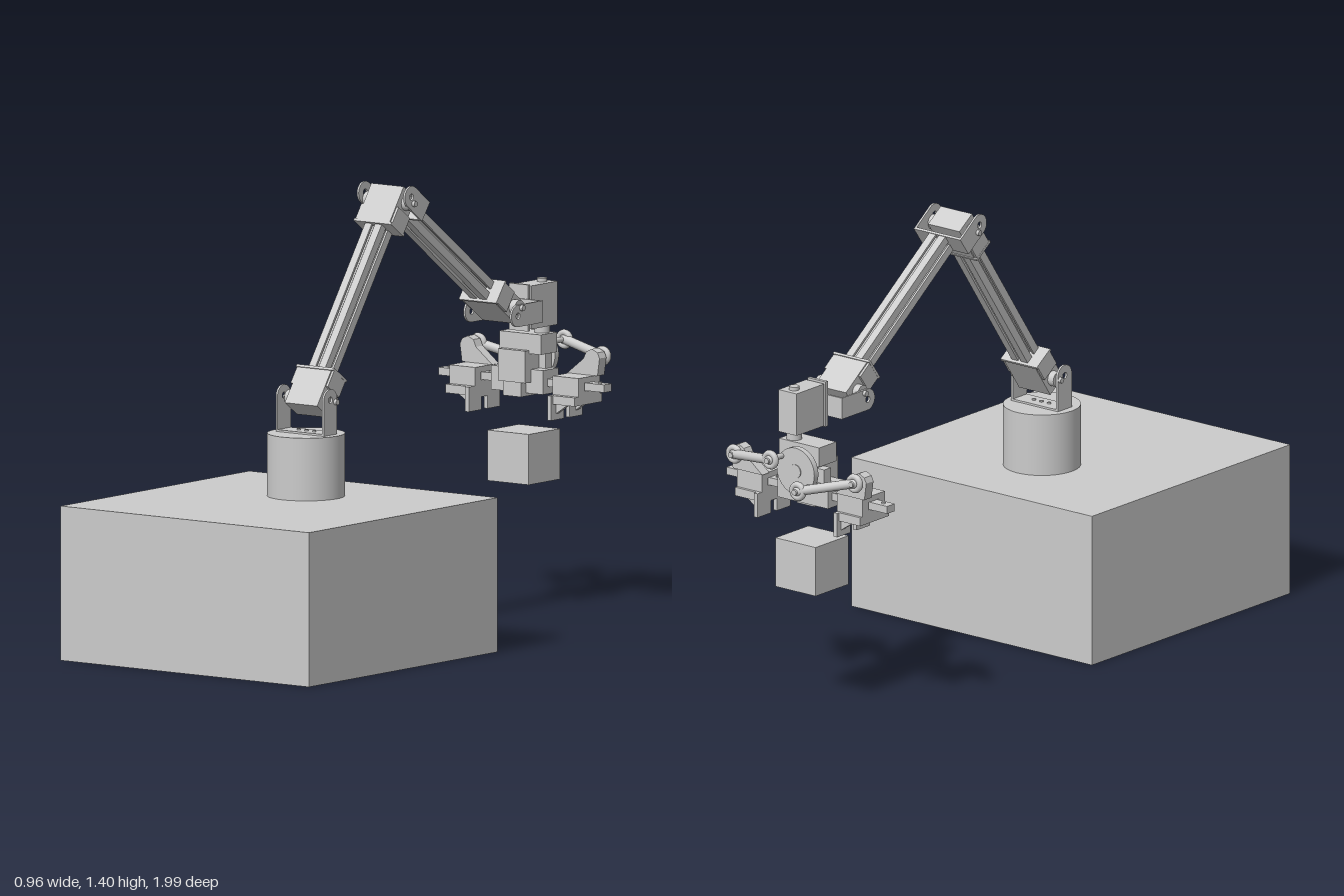
import * as THREE from 'three';

const material = new THREE.MeshStandardMaterial({ color: 0xcccccc, flatShading: false });
const ARM_X = -0.017, GRIP_X = -0.08;

function add(parent, name, geometry, x = 0, y = 0, z = 0) {
  const mesh = new THREE.Mesh(geometry, material);
  mesh.name = name;
  mesh.position.set(x, y, z);
  parent.add(mesh);
  return mesh;
}

function group(parent, name, x = 0, y = 0, z = 0, rx = 0) {
  const g = new THREE.Group();
  g.name = name;
  g.position.set(x, y, z);
  g.rotation.x = rx;
  parent.add(g);
  return g;
}

// Box given by its lower and upper corners
function span(parent, name, x0, x1, y0, y1, z0, z1) {
  return add(parent, name, new THREE.BoxGeometry(x1 - x0, y1 - y0, z1 - z0),
    (x0 + x1) / 2, (y0 + y1) / 2, (z0 + z1) / 2);
}

function disc(parent, name, r, depth, axis, x, y, z, sides = 24) {
  const g = new THREE.CylinderGeometry(r, r, depth, sides);
  if (axis === 'x') g.rotateZ(Math.PI / 2);
  if (axis === 'z') g.rotateX(Math.PI / 2);
  return add(parent, name, g, x, y, z);
}

// Square rail with a T-slot along each side, running up local y
function slottedBeam(parent, length) {
  const h = 0.032, m = 0.006, w = 0.015, lip = 0.025, floor = 0.013;
  const side = [[-h, -h], [-m, -h], [-m, -lip], [-w, -lip], [-w, -floor - 0.004],
    [-floor + 0.003, -floor], [floor - 0.003, -floor], [w, -floor - 0.004], [w, -lip], [m, -lip], [m, -h]];
  const pts = [];
  for (let k = 0; k < 4; k++) {
    const c = Math.round(Math.cos(k * Math.PI / 2)), s = Math.round(Math.sin(k * Math.PI / 2));
    side.forEach(([x, y]) => pts.push(new THREE.Vector2(x * c - y * s, x * s + y * c)));
  }
  const shape = new THREE.Shape(pts);
  const bore = new THREE.Path();
  bore.absarc(0, 0, 0.005, 0, Math.PI * 2, true);
  shape.holes.push(bore);
  const g = new THREE.ExtrudeGeometry(shape, { depth: length, bevelEnabled: false, curveSegments: 6 });
  g.rotateX(-Math.PI / 2);
  add(parent, 'slottedBeam', g);
}

// Motor box with output horns; `end` tells on which end its mounting cradle sits
function servo(parent, y, end) {
  const g = group(parent, 'jointServo', 0, y, 0);
  add(g, 'servoBody', new THREE.BoxGeometry(0.125, 0.125, 0.075));
  add(g, 'cradlePlate', new THREE.BoxGeometry(0.145, 0.008, 0.08), 0, end * 0.067, 0);
  for (const s of [-1, 1]) {
    add(g, 'cradleEar', new THREE.BoxGeometry(0.008, 0.06, 0.07), s * 0.068, end * 0.038, 0);
    disc(g, 'servoHorn', 0.024, 0.022, 'x', s * 0.075, -end * 0.025, 0);
    disc(g, 'hornScrew', 0.009, 0.018, 'x', s * 0.094, -end * 0.025, 0, 12);
  }
}

// U bracket: plate at local y = 0, rounded arms reaching up local y
function forkBracket(parent, reach) {
  const g = group(parent, 'forkBracket');
  add(g, 'forkPlate', new THREE.BoxGeometry(0.186, 0.008, 0.068), 0, 0.004, 0);
  const r = 0.034, shape = new THREE.Shape();
  shape.moveTo(-r, 0);
  shape.lineTo(r, 0);
  shape.lineTo(r, reach - r);
  shape.absarc(0, reach - r, r, 0, Math.PI, false);
  const hole = new THREE.Path();
  hole.absarc(0, reach - r, 0.01, 0, Math.PI * 2, true);
  shape.holes.push(hole);
  for (const s of [-1, 1]) {
    const arm = new THREE.ExtrudeGeometry(shape, { depth: 0.007, bevelEnabled: false });
    arm.translate(0, 0, -0.0035);
    arm.rotateY(Math.PI / 2);
    add(g, 'forkArm', arm, s * 0.0895, 0, 0);
  }
  for (const x of [-0.03, 0, 0.03]) disc(g, 'forkBolt', 0.006, 0.005, 'y', x, 0.01, 0, 10);
  return g;
}

function rod(parent, name, a, b, r) {
  const d = b.clone().sub(a);
  const mesh = add(parent, name, new THREE.CylinderGeometry(r, r, d.length(), 14));
  mesh.position.copy(a).addScaledVector(d, 0.5);
  mesh.quaternion.setFromUnitVectors(new THREE.Vector3(0, 1, 0), d.normalize());
}

// One sliding jaw with its link; s = 1 or -1 side
function jaw(parent, s) {
  const g = group(parent, s > 0 ? 'leftJaw' : 'rightJaw');
  const box = (name, x0, x1, ...rest) => span(g, name, Math.min(s * x0, s * x1), Math.max(s * x0, s * x1), ...rest);
  box('carriage', 0.15, 0.25, 0.672, 0.688, -0.89, -0.78);
  box('carriageTop', 0.15, 0.25, 0.712, 0.73, -0.89, -0.78);
  box('carriageFront', 0.15, 0.25, 0.672, 0.73, -0.81, -0.78);
  box('carriageBack', 0.15, 0.25, 0.672, 0.73, -0.89, -0.86);
  box('fingerMount', 0.155, 0.25, 0.645, 0.672, -0.90, -0.76);
  // Finger: gripping plate with a gap in the middle of its lower edge
  box('fingerPad', 0.152, 0.166, 0.635, 0.672, -0.91, -0.75);
  for (const z of [-0.91, -0.815]) box('fingerTip', 0.152, 0.166, 0.595, 0.636, z, z + 0.065);
  const gusset = new THREE.Shape([[0.16, 0.65], [0.22, 0.65], [0.16, 0.61]].map(([x, y]) => new THREE.Vector2(s * x, y)));
  for (const z of [-0.89, -0.79]) {
    add(g, 'fingerGusset', new THREE.ExtrudeGeometry(gusset, { depth: 0.015, bevelEnabled: false }), 0, 0, z);
  }
  // Upright that carries the outer link pivot
  const plate = new THREE.Shape([[0.145, 0.73], [0.262, 0.73], [0.27, 0.785], [0.262, 0.802], [0.24, 0.812],
    [0.218, 0.802], [0.208, 0.78]].map(([x, y]) => new THREE.Vector2(s * x, y)));
  add(g, 'linkUpright', new THREE.ExtrudeGeometry(plate, { depth: 0.035, bevelEnabled: false }), 0, 0, -0.895);
  // Link between the upright and the drive disc
  const outer = new THREE.Vector3(s * 0.24, 0.785, -0.915);
  const inner = new THREE.Vector3(s * 0.055, 0.775 + s * 0.04, -0.965);
  rod(g, 'linkRod', outer, inner, 0.015);
  for (const p of [outer, inner]) {
    add(g, 'linkEye', new THREE.TorusGeometry(0.021, 0.01, 10, 20), p.x, p.y, p.z);
    add(g, 'linkBall', new THREE.SphereGeometry(0.016, 14, 10), p.x, p.y, p.z);
  }
  disc(g, 'outerPin', 0.009, 0.05, 'z', outer.x, outer.y, -0.91, 12);
  disc(g, 'innerPin', 0.009, 0.08, 'z', inner.x, inner.y, -0.945, 12);
}

export function createModel() {
  const root = new THREE.Group();
  root.name = 'robotArm';

  // Base and turntable
  span(root, 'baseBlock', -0.48, 0.48, 0, 0.48, 0.04, 1);
  disc(root, 'turntable', 0.12, 0.195, 'y', ARM_X, 0.5775, 0.36, 64);
  forkBracket(group(root, 'shoulderFork', ARM_X, 0.673, 0.358), 0.145);

  // Lower arm: shoulder servo, beam, elbow servo
  const lower = group(root, 'lowerArm', ARM_X, 0.856, 0.278, -0.608);
  slottedBeam(lower, 0.53);
  servo(lower, -0.073, 1);
  servo(lower, 0.573, -1);

  // Upper arm: elbow fork, beam, wrist servo
  const upper = group(root, 'upperArm', ARM_X, 1.315, -0.128, -2.202);
  slottedBeam(upper, 0.52);
  forkBracket(group(upper, 'elbowFork', 0, 0, 0, Math.PI), 0.125);
  servo(upper, 0.575, -1);

  // Wrist fork and upright wrist servo
  forkBracket(group(root, 'wristFork', ARM_X, 0.937, -0.722, Math.PI / 2), 0.16);
  const wrist = group(root, 'wristServo', ARM_X, 0, 0);
  span(wrist, 'wristPlate', -0.036, 0.036, 0.87, 1.015, -0.732, -0.72);
  span(wrist, 'wristBody', -0.036, 0.036, 0.875, 1.01, -0.872, -0.738);
  span(wrist, 'wristFlange', -0.03, 0.03, 0.9, 0.985, -0.74, -0.73);
  disc(wrist, 'wristCap', 0.016, 0.014, 'y', 0, 1.014, -0.84);
  disc(wrist, 'wristHorn', 0.024, 0.03, 'y', 0, 0.865, -0.84);

  // Gripper body, drive disc and rail
  const grip = group(root, 'gripper', GRIP_X, 0, 0);
  span(grip, 'gripperTop', -0.06, 0.1, 0.79, 0.852, -0.868, -0.785);
  span(grip, 'gripperBody', -0.05, 0.055, 0.7, 0.8, -0.868, -0.765);
  span(grip, 'gripperEars', -0.08, 0.08, 0.735, 0.785, -0.868, -0.835);
  span(grip, 'railSupport', -0.1, 0.1, 0.665, 0.74, -0.875, -0.795);
  span(grip, 'gripperFoot', -0.035, 0.035, 0.655, 0.7, -0.86, -0.77);
  span(grip, 'rail', -0.32, 0.32, 0.688, 0.712, -0.855, -0.818);
  for (const x of [-0.29, -0.13, 0.13, 0.29]) disc(grip, 'railScrew', 0.007, 0.006, 'y', x, 0.714, -0.836, 10);
  disc(grip, 'driveDisc', 0.075, 0.02, 'z', 0, 0.775, -0.9, 40);
  disc(grip, 'driveHub', 0.022, 0.05, 'z', 0, 0.775, -0.888);
  for (const s of [-1, 1]) jaw(grip, s);

  // Cube waiting beneath the gripper
  span(root, 'workpiece', -0.16, 0, 0.388, 0.545, -0.91, -0.75);

  // Rest the whole arm evenly about the origin
  root.updateMatrixWorld(true);
  const box = new THREE.Box3().setFromObject(root);
  const shift = -(box.min.z + box.max.z) / 2;
  root.children.forEach((c) => { c.position.z += shift; });
  return root;
}
